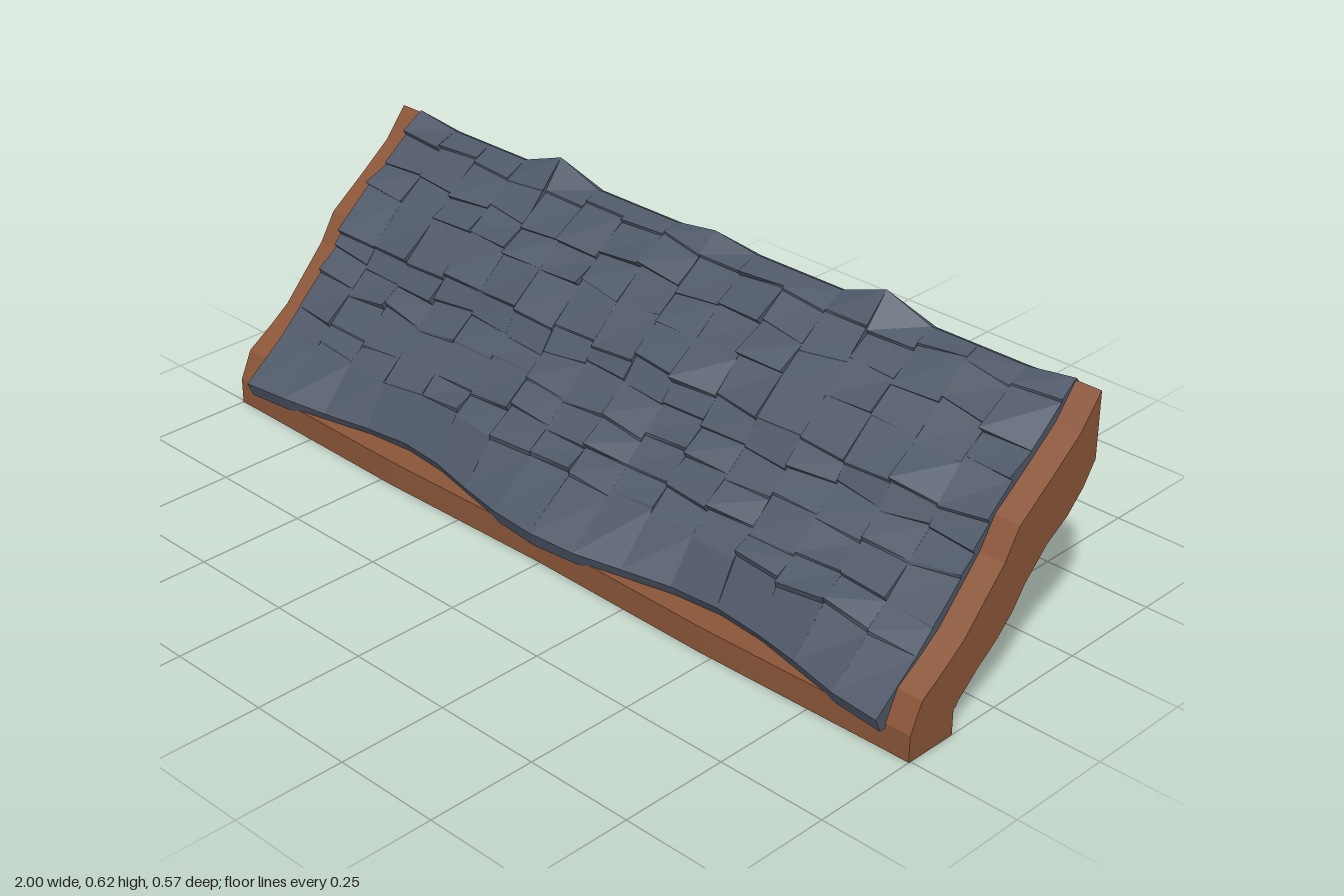
import * as THREE from 'three';

const wood = new THREE.MeshStandardMaterial({ color: 0x8a5538, flatShading: true });
wood.name = 'brown wood';
const slate = new THREE.MeshStandardMaterial({ color: 0x4f5868, flatShading: true });
slate.name = 'blue grey slate';

// profiles are [z, y] points
const BOARD = [
  [0.255, 0], [0.255, 0.06], [0.225, 0.125], [0.16, 0.168], [0.11, 0.205], [0, 0.325],
  [-0.04, 0.39], [-0.14, 0.465], [-0.21, 0.52], [-0.267, 0.59], [-0.267, 0.442],
  [-0.235, 0.393], [-0.19, 0.348], [-0.13, 0.31], [-0.07, 0.25], [-0.035, 0.2],
  [0.01, 0.157], [0.06, 0.12], [0.115, 0.072], [0.122, 0.06], [0.128, 0.06], [0.128, 0]
];

// front bottom and lip, then pairs of tuck and lip for each course, then the ridge and the back
const SLATES = [
  [0.236, 0.054], [0.25, 0.083],
  [0.168, 0.177], [0.172, 0.19], [0.119, 0.221], [0.127, 0.234],
  [0.063, 0.277], [0.07, 0.291], [0.008, 0.328], [0.018, 0.34],
  [-0.02, 0.372], [-0.01, 0.386], [-0.09, 0.444], [-0.08, 0.453],
  [-0.155, 0.495], [-0.143, 0.507], [-0.224, 0.552], [-0.215, 0.566],
  [-0.268, 0.577], [-0.284, 0.57], [-0.272, 0.445], [0.16, 0.055]
];
const RIDGE = 18;
const COLUMNS = 16;
const HALF = 0.94;
const COLUMN_WIDTH = (2 * HALF) / COLUMNS;

// extrude a [z, y] profile along x between x0 and x1
function extrudeX(points, x0, x1) {
  const shape = new THREE.Shape(points.map(([z, y]) => new THREE.Vector2(z, y)));
  const g = new THREE.ExtrudeGeometry(shape, { depth: x1 - x0, steps: 1, bevelEnabled: false });
  g.rotateY(-Math.PI / 2);
  g.translate(x1, 0, 0);
  return g;
}

// repeatable noise from -1 to 1
function noise(a, b) {
  const s = Math.sin(a * 127.1 + b * 311.7 + 4.2) * 43758.5453;
  return (s - Math.floor(s)) * 2 - 1;
}

function moveVertices(g, rule) {
  const p = g.attributes.position;
  const v = new THREE.Vector3();
  for (let i = 0; i < p.count; i++) {
    rule(v.fromBufferAttribute(p, i));
    p.setXYZ(i, v.x, v.y, v.z);
  }
  g.computeVertexNormals();
  return g;
}

// uneven slates: some lips lie flush and some stand proud, with small steps between columns
function shiftSlate(v, column) {
  const k = SLATES.findIndex(([z, y]) => Math.hypot(v.z - z, v.y - y) < 0.001);
  const line = Math.round((v.x + HALF) / COLUMN_WIDTH);
  const wave = Math.cos((2 * Math.PI * v.x) / HALF);
  if (k === 0 || k === 1) {
    v.z += 0.034 * wave;
    v.y += k === 0 ? -0.006 * wave : 0.003 * noise(line, 1);
  } else if (k > 1 && k < RIDGE) {
    const row = k >> 1;
    const isLip = k % 2;
    const along = 0.01 * noise(line, row) + 0.01 * noise(column, row + 20);
    const proud = 0.7 * noise(line + 31, row) + 0.5 * noise(column + 47, row);
    const off = isLip ? -0.013 + 0.017 * Math.max(0, proud) : 0.003 * noise(line + 57, row);
    v.z += 0.707 * (off - along);
    v.y += 0.707 * (off + along);
  } else if (k === RIDGE || k === RIDGE + 1) {
    const peak = Math.max(0, Math.cos((4 * Math.PI * v.x) / HALF));
    const height = wave < 0 ? 0.041 : 0.017;
    v.y += peak * height * (k === RIDGE ? 1 : 0.4);
  }
}

export function createModel() {
  const group = new THREE.Group();
  const add = (parent, name, geometry, material) => {
    const mesh = new THREE.Mesh(geometry, material);
    mesh.name = name;
    parent.add(mesh);
  };

  // wavy boards at both ends
  add(group, 'leftBargeBoard', extrudeX(BOARD, HALF, 1), wood);
  add(group, 'rightBargeBoard', extrudeX(BOARD, -1, -HALF), wood);

  // eaves beam with a slightly bowed front
  const beam = new THREE.BoxGeometry(2 * HALF, 0.06, 0.127, 8, 1, 1);
  beam.translate(0, 0.03, 0.1915);
  add(group, 'eavesBeam', moveVertices(beam, (v) => {
    if (v.z > 0.2) v.z += 0.004 - 0.004 * Math.cos((2 * Math.PI * v.x) / HALF);
  }), wood);

  // slate covering, one column at a time
  const roof = new THREE.Group();
  roof.name = 'slateRoof';
  for (let c = 0; c < COLUMNS; c++) {
    const x0 = -HALF + c * COLUMN_WIDTH;
    const column = extrudeX(SLATES, x0, x0 + COLUMN_WIDTH);
    add(roof, 'slateColumn', moveVertices(column, (v) => shiftSlate(v, c)), slate);
  }
  group.add(roof);

  return group;
}
